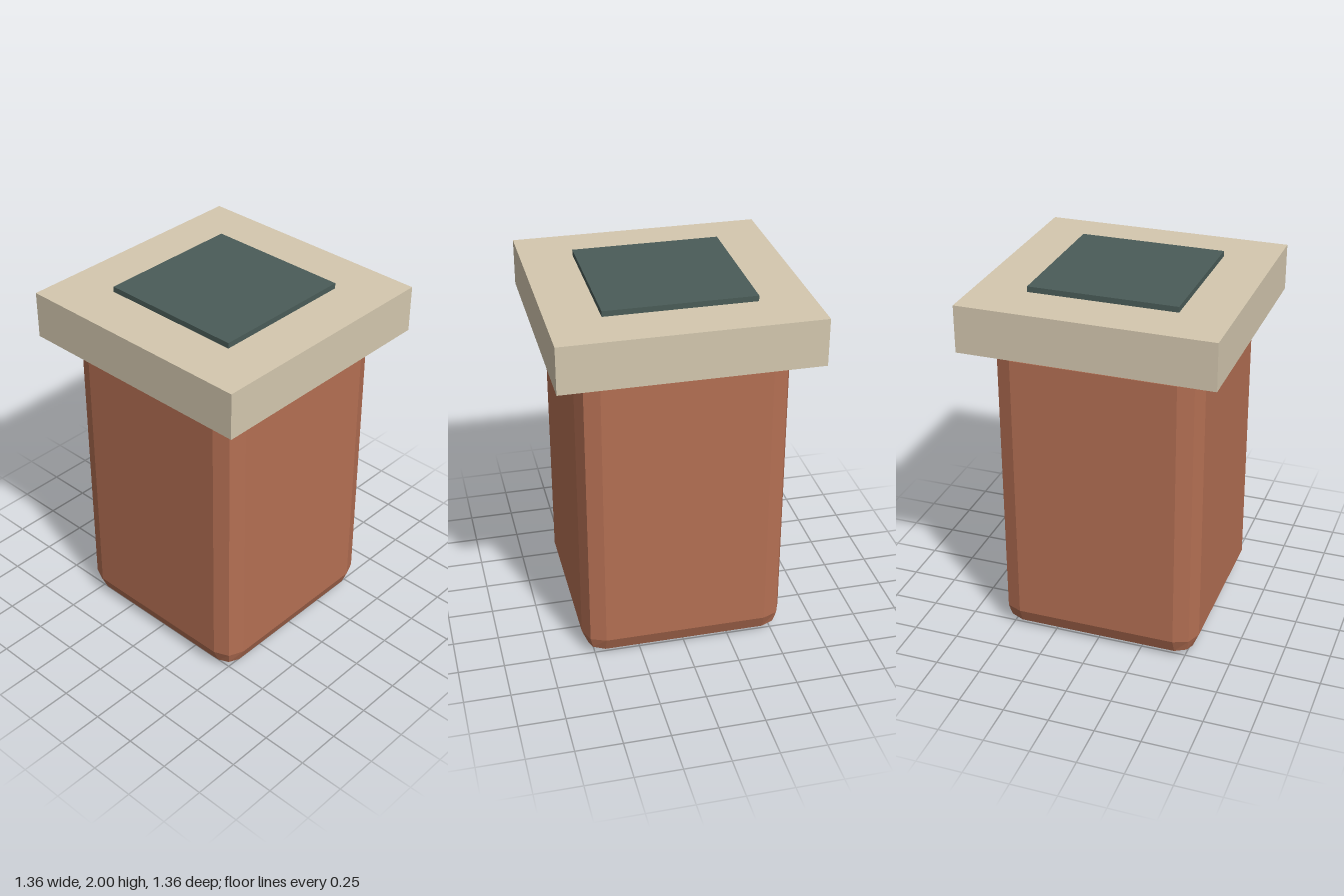
import * as THREE from 'three';
import { RoundedBoxGeometry } from 'three/addons/geometries/RoundedBoxGeometry.js';

function material(name, color) {
  const m = new THREE.MeshStandardMaterial({ color });
  m.name = name;
  return m;
}

export function createModel() {
  const group = new THREE.Group();
  group.name = 'cappedPost';

  const clay = material('terracotta', 0xb46f53);
  const stone = material('sandstone', 0xd4c8af);
  const slate = material('darkSlate', 0x4a5c58);

  // Adds a part whose underside sits at the given height
  const add = (name, geometry, mat, bottom, height) => {
    const mesh = new THREE.Mesh(geometry, mat);
    mesh.name = name;
    mesh.position.y = bottom + height / 2;
    group.add(mesh);
  };

  // Faceted body with two-step rounded edges; its top is tucked into the cap
  const body = new RoundedBoxGeometry(1.12, 1.765, 1.12, 1, 0.115);
  body.computeVertexNormals();
  add('body', body, clay, 0, 1.765);

  // Wide square cap
  add('cap', new THREE.BoxGeometry(1.36, 0.255, 1.36), stone, 1.715, 0.255);

  // Thin square plate on top
  add('topPlate', new THREE.BoxGeometry(0.8, 0.03, 0.8), slate, 1.97, 0.03);

  return group;
}
